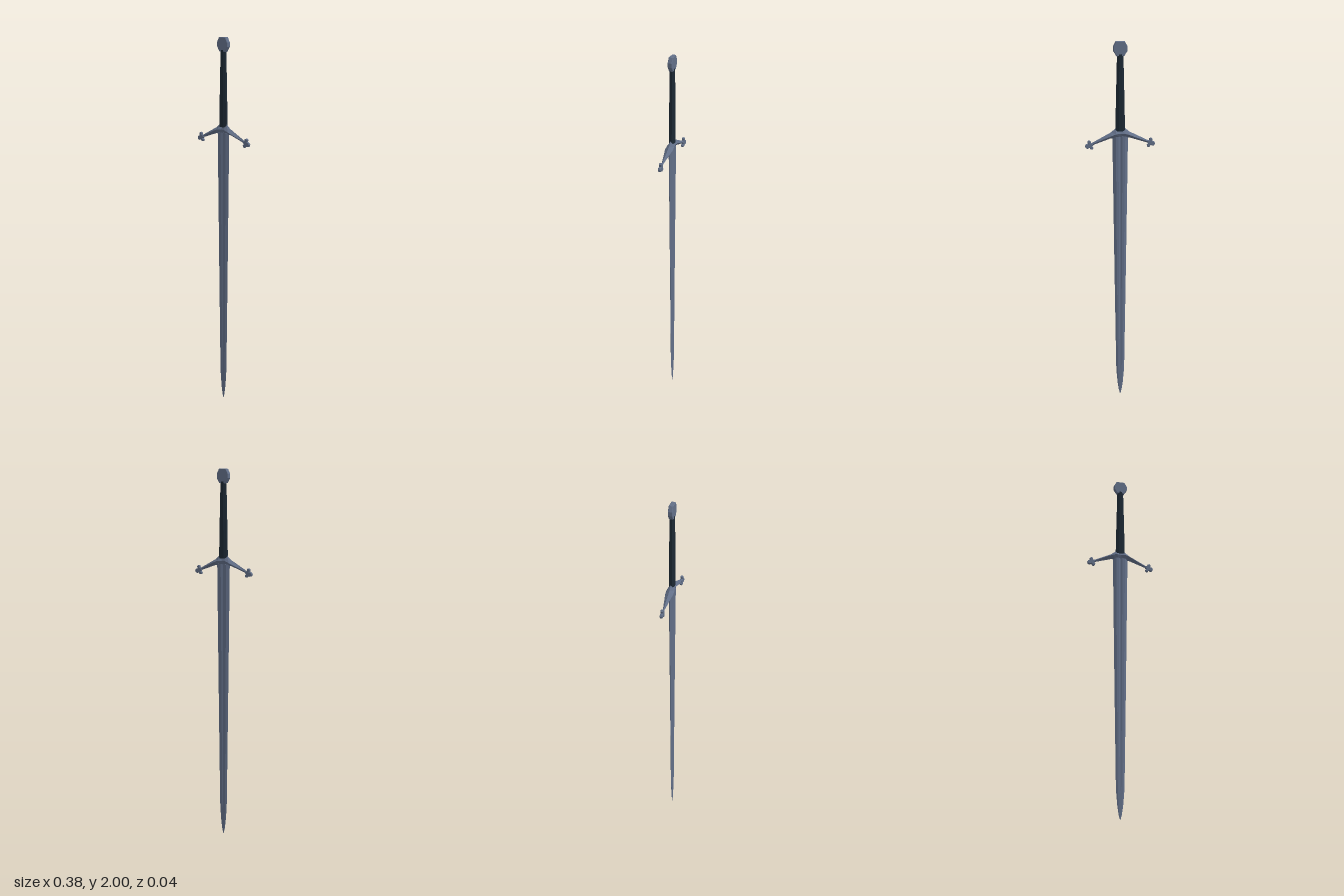
import * as THREE from 'three';

// Skin a list of rings (each an array of [x, y, z]) and cap both ends.
function loft(rings) {
  const pos = [];
  const n = rings[0].length;
  const tri = (a, b, c) => pos.push(...a, ...b, ...c);
  for (let r = 0; r < rings.length - 1; r++) {
    const a = rings[r], b = rings[r + 1];
    for (let i = 0; i < n; i++) {
      const j = (i + 1) % n;
      tri(a[i], a[j], b[j]);
      tri(a[i], b[j], b[i]);
    }
  }
  const cap = (ring, flip) => {
    const c = [0, 1, 2].map(k => ring.reduce((s, p) => s + p[k], 0) / n);
    ring.forEach((p, i) => {
      const q = ring[(i + 1) % n];
      if (flip) tri(c, q, p); else tri(c, p, q);
    });
  };
  cap(rings[0], true);
  cap(rings[rings.length - 1], false);
  const g = new THREE.BufferGeometry();
  g.setAttribute('position', new THREE.Float32BufferAttribute(pos, 3));
  g.computeVertexNormals();
  return g;
}

// Extruded polygon centred on z = 0.
function plate(points, thickness, bevel) {
  const shape = new THREE.Shape(points.map(p => new THREE.Vector2(p[0], p[1])));
  const depth = thickness - 2 * bevel;
  const g = new THREE.ExtrudeGeometry(shape, {
    depth, bevelEnabled: true, bevelThickness: bevel, bevelSize: bevel,
    bevelOffset: -bevel, bevelSegments: 1
  });
  g.translate(0, 0, -depth / 2);
  return g;
}

export function createModel() {
  const sword = new THREE.Group();
  sword.name = 'sword';
  const steel = new THREE.MeshStandardMaterial({ color: 0x626f88 });
  const leather = new THREE.MeshStandardMaterial({ color: 0x1c2833 });
  steel.name = 'steel';
  leather.name = 'dark leather';
  steel.flatShading = leather.flatShading = true;

  const add = (name, geometry, material, parent = sword) => {
    const m = new THREE.Mesh(geometry, material);
    m.name = name;
    parent.add(m);
    return m;
  };

  // Blade: [y, half width, half thickness, fuller floor as share of thickness]
  const blade = [
    [0, 0.001, 0.0006, 1], [0.025, 0.008, 0.0015, 1], [0.07, 0.015, 0.0025, 1],
    [0.14, 0.021, 0.004, 1], [0.18, 0.023, 0.0045, 0.5], [0.7, 0.031, 0.0065, 0.45],
    [1.2, 0.038, 0.009, 0.45], [1.5, 0.042, 0.011, 0.45]
  ].map(([y, w, t, f]) => {
    const side = [[1, 0], [0.6, 1], [0.25, 1], [0, f], [-0.25, 1], [-0.6, 1]];
    return [...side.map(([x, z]) => [x * w, y, -z * t]),
            ...side.map(([x, z]) => [-x * w, y, z * t])];
  });
  add('blade', loft(blade), steel);

  // Guard: drooping arms of diamond section, [x, centre y, half height, half depth]
  const arm = [[0.025, 1.517, 0.028, 0.02], [0.05, 1.508, 0.016, 0.021],
               [0.14, 1.47, 0.008, 0.005], [0.152, 1.465, 0.007, 0.005]];
  const stations = [...arm.map(([x, ...s]) => [-x, ...s]).reverse(),
                    [0, 1.517, 0.029, 0.015], ...arm];
  add('crossguard', loft(stations.map(([x, y, h, d]) =>
    [[x, y + h, 0], [x, y, d], [x, y - h, 0], [x, y, -d]])), steel);

  // Three-lobed finials at the arm tips
  const half = [[-0.016, 0.006], [-0.008, 0.009], [-0.012, 0.019], [-0.005, 0.026],
                [0.005, 0.023], [0.007, 0.011], [0.018, 0.012], [0.026, 0.006]];
  const outline = [...half.map(([x, y]) => [x, -y]), ...half.slice().reverse()];
  const finial = plate(outline, 0.014, 0.002);
  for (const [name, turn] of [['leftFinial', 0], ['rightFinial', Math.PI]]) {
    const end = new THREE.Group();
    end.name = name;
    end.rotation.y = turn;
    sword.add(end);
    const m = add('trefoil', finial, steel, end);
    m.position.set(0.162, 1.46, 0);
    m.rotation.z = -0.38;
  }

  // Grip: eight-sided, narrowing toward the pommel
  const grip = [[1.53, 0.025, 0.014], [1.72, 0.021, 0.014], [1.935, 0.016, 0.012]]
    .map(([y, w, d]) => Array.from({ length: 8 }, (_, i) => {
      const a = (i + 0.5) * Math.PI / 4, k = 1 / Math.cos(Math.PI / 8);
      return [Math.cos(a) * w * k, y, -Math.sin(a) * d * k];
    }));
  add('grip', loft(grip), leather);

  // Pommel: flat eight-sided disc
  add('pommel', plate([[0.02, 1.925], [0.037, 1.952], [0.037, 1.974], [0.023, 2],
    [-0.023, 2], [-0.037, 1.974], [-0.037, 1.952], [-0.02, 1.925]], 0.023, 0.002), steel);

  return sword;
}
